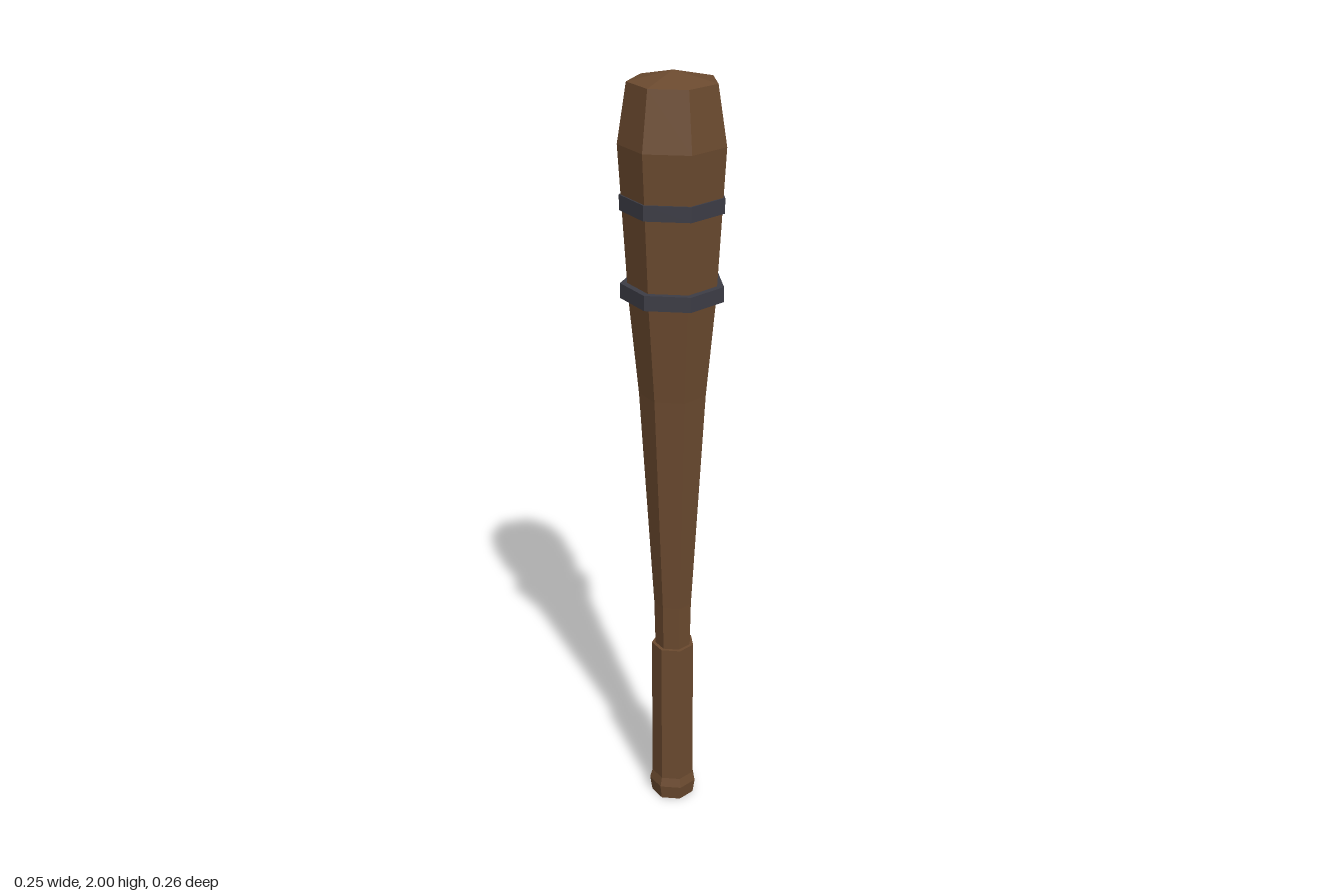
import * as THREE from 'three';

const SIDES = 7;
const TURN = THREE.MathUtils.degToRad(-91.4);

// Faceted seven-sided solid from a bottom-to-top profile of [radius, height]
function faceted(name, profile, material) {
  const points = profile.map(([r, y]) => new THREE.Vector2(r, y));
  const geometry = new THREE.LatheGeometry(points, SIDES, TURN).toNonIndexed();
  geometry.computeVertexNormals();
  const mesh = new THREE.Mesh(geometry, material);
  mesh.name = name;
  return mesh;
}

export function createModel() {
  const wood = new THREE.MeshStandardMaterial({ color: 0x6b4a2f });
  wood.name = 'brown wood';
  const iron = new THREE.MeshStandardMaterial({ color: 0x3d3d46 });
  iron.name = 'dark iron';

  const club = new THREE.Group();
  club.name = 'club';

  // Tapered shaft swelling into the head, with a shallow pointed top
  club.add(faceted('shaftAndHead', [
    [0.047, 0.46], [0.05, 0.6], [0.086, 1.2], [0.11, 1.45],
    [0.133, 1.83], [0.11, 1.975], [0, 2],
  ], wood));

  // Grip sleeve
  club.add(faceted('grip', [[0, 0.03], [0.057, 0.03], [0.057, 0.475], [0, 0.475]], wood));

  // Pommel at the foot
  club.add(faceted('pommel', [[0, 0], [0.058, 0], [0.064, 0.04], [0.057, 0.065], [0, 0.065]], wood));

  // Iron bands around the head
  for (const [name, y] of [['lowerBand', 1.47], ['upperBand', 1.69]]) {
    club.add(faceted(name, [
      [0.1, y - 0.019], [0.13, y - 0.019], [0.13, y + 0.019], [0.1, y + 0.019],
    ], iron));
  }

  club.position.set(0.004, 0, -0.001);
  const model = new THREE.Group();
  model.name = 'woodenClub';
  model.add(club);
  return model;
}
